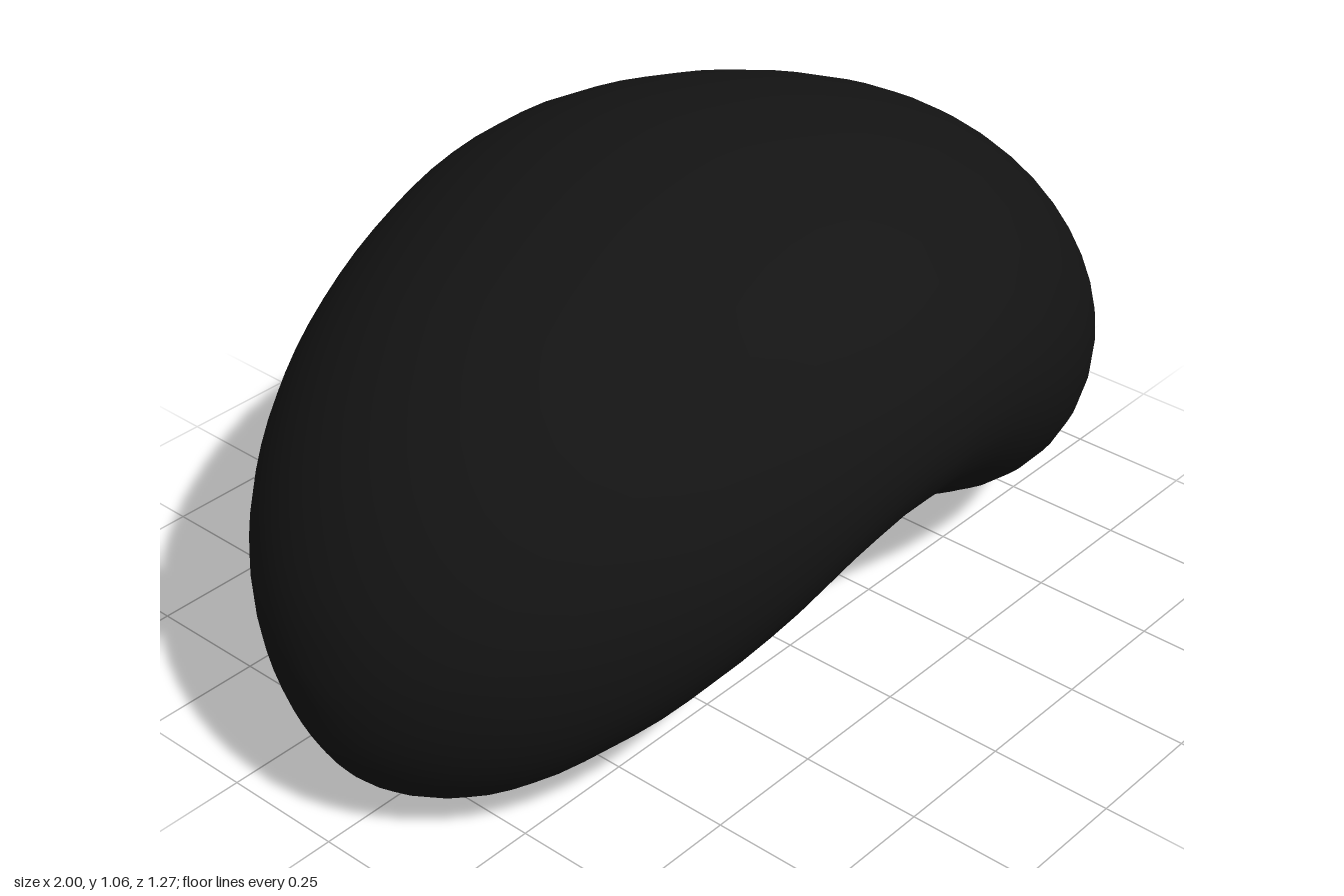
import * as THREE from 'three';
import { mergeVertices } from 'three/addons/utils/BufferGeometryUtils.js';

// Upper and lower outline heights, from the middle to the tip in 10 degree steps (x = sin angle)
const TOP = [1.06, 1.045, 1.01, 0.955, 0.885, 0.795, 0.69, 0.575, 0.46, 0.33];
const BOTTOM = [0.29, 0.235, 0.13, 0.045, 0.005, 0.0, 0.045, 0.12, 0.21, 0.33];
const HALF_WIDTH = 0.635;

// Smooth curve through a half outline mirrored about x = 0
function mirroredCurve(heights) {
  const all = [...heights.slice(1).reverse(), ...heights];
  return new THREE.SplineCurve(all.map((h, i) => new THREE.Vector2(i, h)));
}

// Loft of egg-shaped cross-sections along x
function beanGeometry(rings = 48, sides = 40) {
  const top = mirroredCurve(TOP);
  const bottom = mirroredCurve(BOTTOM);
  const positions = [];
  const index = [];
  for (let i = 0; i <= rings; i++) {
    const t = i / rings;
    const angle = (t - 0.5) * Math.PI;
    const s = Math.abs(Math.sin(angle));
    const c = i % rings === 0 ? 0 : Math.cos(angle);
    const hi = top.getPoint(t).y;
    const lo = bottom.getPoint(t).y;
    // height of the widest point of this section
    const mid = (hi + lo) / 2 - 0.025 * c * c + 0.11 * s * c;
    for (let j = 0; j < sides; j++) {
      const phi = (j / sides) * Math.PI * 2;
      const up = Math.cos(phi);
      const out = Math.sin(phi);
      // the underside narrows a little more than the upper side
      const power = up < 0 ? 1 + 0.2 * Math.min(1, 2 * s) : 1;
      positions.push(
        Math.sin(angle),
        mid + up * (up > 0 ? hi - mid : mid - lo),
        HALF_WIDTH * c * Math.sign(out) * Math.abs(out) ** power
      );
      if (i < rings) {
        const a = i * sides + j;
        const b = i * sides + ((j + 1) % sides);
        if (i > 0) index.push(a, b, a + sides);
        if (i < rings - 1) index.push(b, b + sides, a + sides);
        else index.push(); // tip closes with single triangles
      }
    }
  }
  const geometry = new THREE.BufferGeometry();
  geometry.setAttribute('position', new THREE.Float32BufferAttribute(positions, 3));
  geometry.setIndex(index);
  const merged = mergeVertices(geometry, 1e-5);
  merged.computeVertexNormals();
  return merged;
}

export function createModel() {
  const model = new THREE.Group();
  model.name = 'bean';
  const body = new THREE.Mesh(
    beanGeometry(),
    new THREE.MeshStandardMaterial({ color: 0x141414 })
  );
  body.name = 'beanBody';
  model.add(body);
  return model;
}
